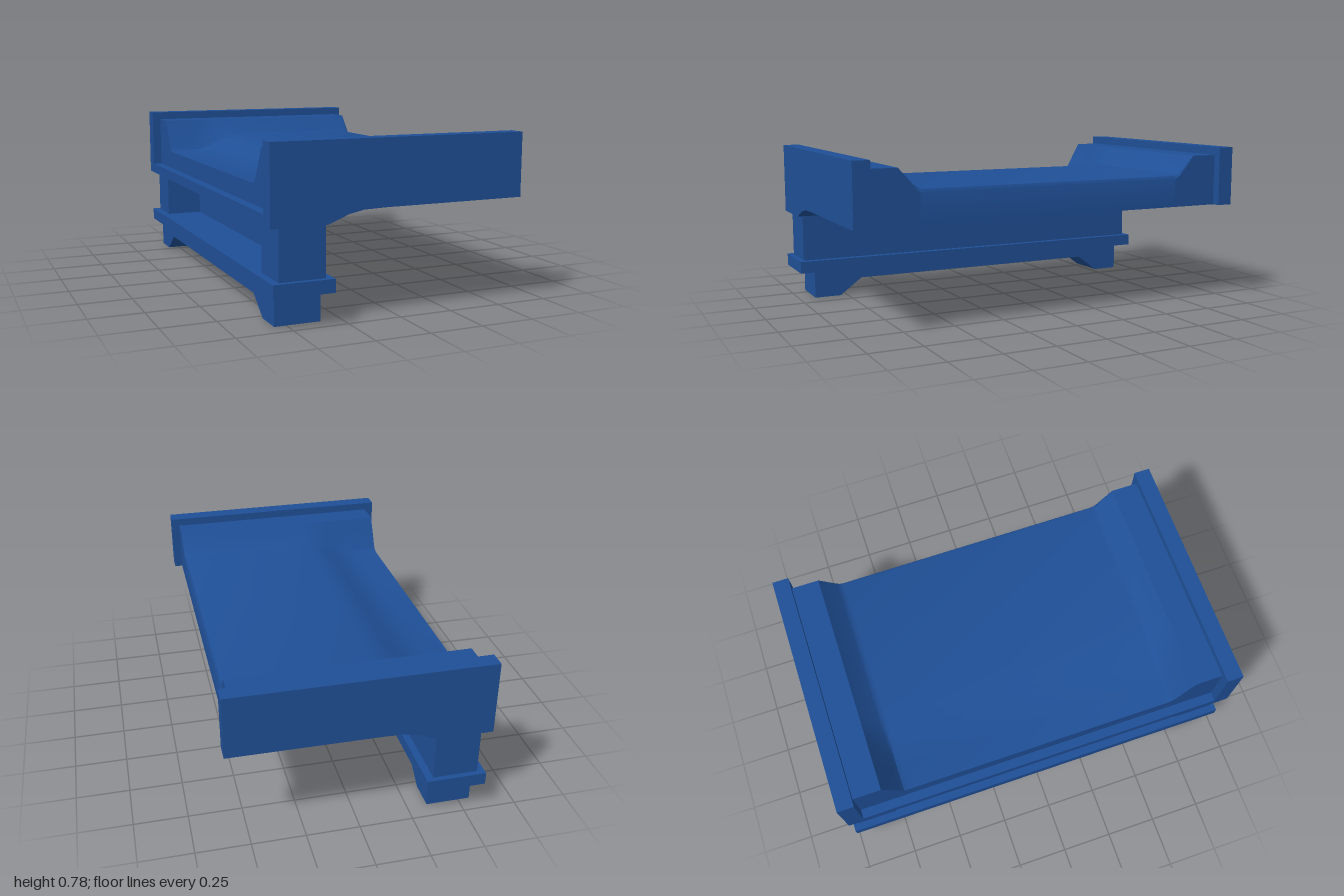
import * as THREE from 'three';
import { toCreasedNormals } from 'three/addons/utils/BufferGeometryUtils.js';

const material = new THREE.MeshStandardMaterial({ color: 0x1f4f96 });

function add(group, name, geometry) {
  const mesh = new THREE.Mesh(geometry, material);
  mesh.name = name;
  group.add(mesh);
  return mesh;
}

// Box given by its limits on each axis
function box([x0, x1], [y0, y1], [z0, z1]) {
  return new THREE.BoxGeometry(x1 - x0, y1 - y0, z1 - z0)
    .translate((x0 + x1) / 2, (y0 + y1) / 2, (z0 + z1) / 2);
}

function extrude(points, depth) {
  const shape = new THREE.Shape(points.map(([x, y]) => new THREE.Vector2(x, y)));
  return new THREE.ExtrudeGeometry(shape, { depth, bevelEnabled: false });
}

// Underside curve shared by the deck and the end cheeks, from +x to the leg
const HAUNCH = [[-0.08, 0.485], [-0.18, 0.482], [-0.25, 0.468], [-0.345, 0.43]];

// Deck: cross-sections in x,y lofted along z; the ends rise to a raised shelf
function deckGeometry() {
  const under = [[0.56, 0.487], ...HAUNCH, [-0.555, 0.43]];
  const floor = [[-0.555, 0.572], [-0.44, 0.572], [-0.38, 0.575], [-0.32, 0.592],
    [-0.26, 0.62], [-0.2, 0.642], [-0.14, 0.648], [0.54, 0.648], [0.552, 0.643], [0.56, 0.628]];
  const half = [[0.92, 1], [0.785, 1], [0.705, 0.14], [0.69, 0.04], [0.67, 0]];
  const stations = [...half, ...half.slice().reverse().map(([z, t]) => [-z, t])];
  const n = under.length + floor.length;
  const positions = [], index = [];
  for (const [z, t] of stations) {
    for (const [x, y] of under) positions.push(x, y, z);
    for (const [x, y] of floor) positions.push(x, y + (0.74 - y) * t, z);
  }
  for (let s = 0; s < stations.length - 1; s++) {
    for (let i = 0; i < n; i++) {
      const j = (i + 1) % n, a = s * n, b = a + n;
      index.push(a + i, a + j, b + i, a + j, b + j, b + i);
    }
  }
  const geometry = new THREE.BufferGeometry();
  geometry.setAttribute('position', new THREE.Float32BufferAttribute(positions, 3));
  geometry.setIndex(index);
  return toCreasedNormals(geometry, 0.5);
}

export function createModel() {
  const model = new THREE.Group();
  model.name = 'bracketedDeck';

  add(model, 'deck', deckGeometry());
  add(model, 'rearLip', box([-0.6, -0.555], [0.43, 0.48], [-0.92, 0.92]));

  // End cheeks and the posts below them
  const cheek = [[0.6, 0.78], [-0.6, 0.78], [-0.6, 0.43], ...HAUNCH.slice().reverse(), [0.6, 0.487]];
  for (const side of [1, -1]) {
    const end = side > 0 ? 'front' : 'back';
    add(model, end + 'Cheek', extrude(cheek, 0.08)).position.z = side > 0 ? 0.92 : -1;
    add(model, end + 'Post', box([-0.555, -0.345], [0.2, 0.43],
      side > 0 ? [0.775, 0.975] : [-0.975, -0.775]));
  }

  // Thin web between the posts, standing on a flat plate
  add(model, 'web', box([-0.368, -0.345], [0.2, 0.432], [-0.776, 0.776]));
  add(model, 'basePlate', box([-0.59, -0.31], [0.14, 0.2], [-1, 1]));

  // Foot rail with a foot at each end
  const foot = [[0.92, 0.14], [0.92, 0], [0.785, 0], [0.67, 0.085]];
  const rail = [...foot, ...foot.slice().reverse().map(([z, y]) => [-z, y])];
  add(model, 'footRail', extrude(rail, 0.21).rotateY(Math.PI / 2)).position.x = -0.555;

  return model;
}
